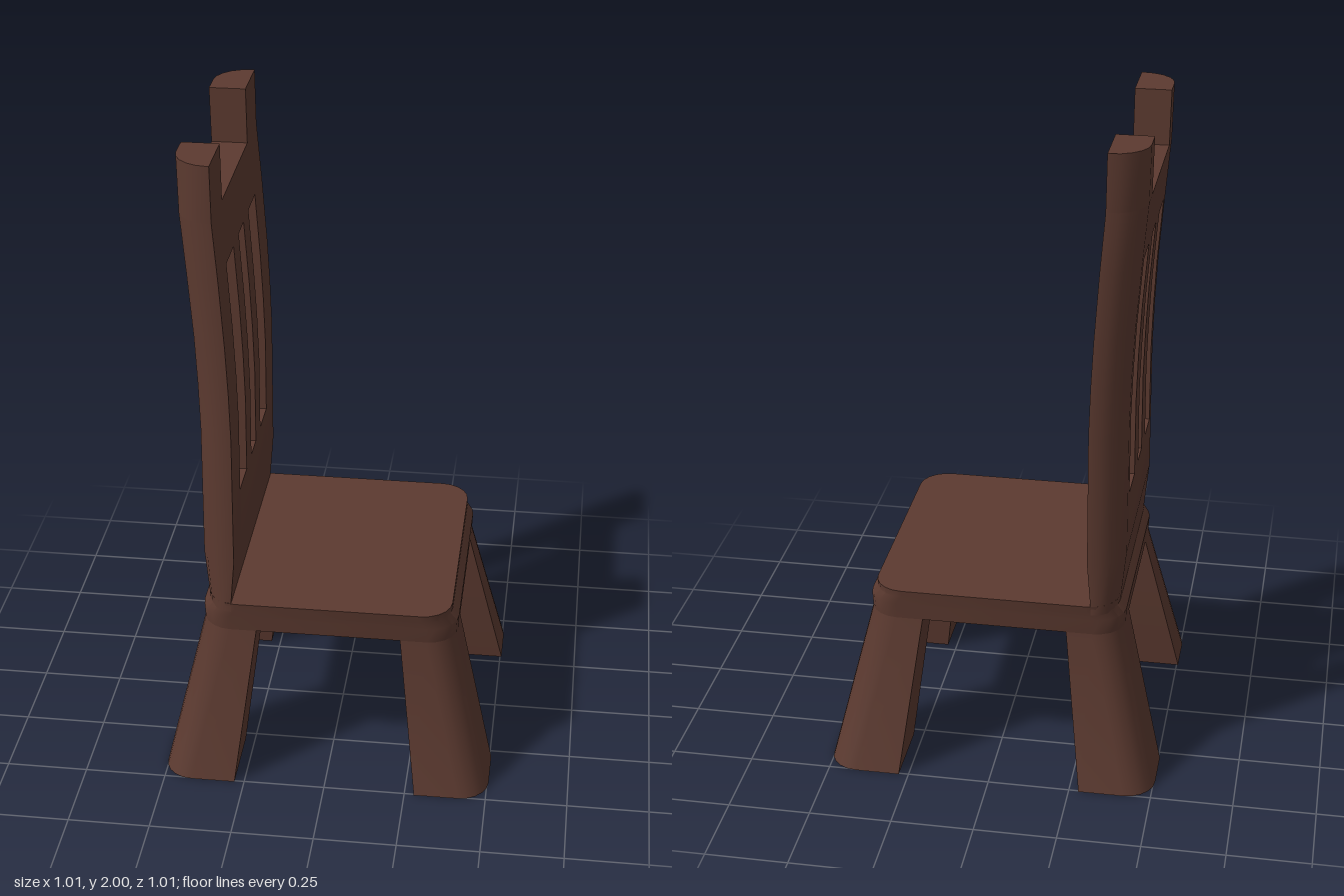
import * as THREE from 'three';
import { toCreasedNormals } from 'three/addons/utils/BufferGeometryUtils.js';

// Closed loft through convex rings, bottom to top; each level is { y, ring: [[x, z], ...] }
function loft(levels) {
  const pos = [];
  const n = levels[0].ring.length;
  const rings = levels.map(({ y, ring }) => {
    let area = 0;
    ring.forEach(([x, z], i) => {
      const [x2, z2] = ring[(i + 1) % n];
      area += x * z2 - x2 * z;
    });
    const ordered = area > 0 ? [...ring].reverse() : ring;
    return ordered.map(([x, z]) => [x, y, z]);
  });
  const tri = (a, b, c) => pos.push(...a, ...b, ...c);
  for (let i = 0; i < rings.length - 1; i++) {
    for (let j = 0; j < n; j++) {
      const k = (j + 1) % n;
      tri(rings[i][j], rings[i][k], rings[i + 1][k]);
      tri(rings[i][j], rings[i + 1][k], rings[i + 1][j]);
    }
  }
  const low = rings[0], top = rings[rings.length - 1];
  for (let j = 1; j < n - 1; j++) {
    tri(top[0], top[j], top[j + 1]);
    tri(low[0], low[j + 1], low[j]);
  }
  const geo = new THREE.BufferGeometry();
  geo.setAttribute('position', new THREE.Float32BufferAttribute(pos, 3));
  return toCreasedNormals(geo, 0.6);
}

// Quarter arc from +x round to +z
function arc(cx, cz, rx, rz, steps = 5) {
  return Array.from({ length: steps + 1 }, (_, i) => {
    const a = (i / steps) * Math.PI / 2;
    return [cx + rx * Math.cos(a), cz + rz * Math.sin(a)];
  });
}

// Bend of the backrest: [y, rear x, front x]
const BEND = [
  [0.56, -0.372, -0.295], [0.6, -0.375, -0.293], [0.73, -0.388, -0.282], [1.15, -0.386, -0.28],
  [1.3, -0.39, -0.284], [1.45, -0.397, -0.291], [1.65, -0.412, -0.304],
  [1.83, -0.427, -0.318], [2, -0.43, -0.32],
];

function bendAt(y) {
  const i = Math.max(1, BEND.findIndex((b) => b[0] >= y));
  const [a, b] = [BEND[i - 1], BEND[i]];
  const t = (y - a[0]) / (b[0] - a[0]);
  return [a[1] + (b[1] - a[1]) * t, a[2] + (b[2] - a[2]) * t];
}

// Bent piece of the backrest; section is a ring of [depth 0 rear .. 1 front, z]
function bentPiece(y0, y1, section) {
  const ys = [y0, ...BEND.map((b) => b[0]).filter((y) => y > y0 && y < y1), y1];
  return loft(ys.map((y) => {
    const [rear, front] = bendAt(y);
    return { y, ring: section.map(([u, z]) => [rear + (front - rear) * u, z]) };
  }));
}

const bar = (z0, z1) => [[0, z0], [1, z0], [1, z1], [0, z1]];

// Post section with its outer rear edge rounded
function postSection(inner, side) {
  const curve = arc(0, 0.3, 0.95, 0.1).map(([u, z]) => [0.95 - u, z]);
  return [[0, inner], [1, inner], [1, 0.4], ...curve.reverse()].map(([u, z]) => [u, z * side]);
}

export function createModel() {
  const chair = new THREE.Group();
  chair.name = 'chair';
  const wood = new THREE.MeshStandardMaterial({ color: 0x5c3a30 });
  wood.name = 'dark brown wood';

  const add = (name, geo) => {
    const mesh = new THREE.Mesh(geo, wood);
    mesh.name = name;
    chair.add(mesh);
  };

  // Seat with rounded corners and a slightly stepped rim: [y, half x, half z]
  const seatLevels = [[0.49, 0.39, 0.39], [0.54, 0.392, 0.395], [0.568, 0.372, 0.4], [0.59, 0.372, 0.404]];
  add('seat', loft(seatLevels.map(([y, hx, hz]) => {
    const r = 0.09;
    const quarter = arc(hx - r, hz - r, r, r);
    const flipped = [...quarter].reverse();
    const ring = [
      ...quarter, ...flipped.map(([x, z]) => [-x, z]),
      ...quarter.map(([x, z]) => [-x, -z]), ...flipped.map(([x, z]) => [x, -z]),
    ];
    return { y, ring };
  })));

  // Four splayed legs, rounded at the outer corner: [y, inner, outer]
  for (const sx of [1, -1]) {
    for (const sz of [1, -1]) {
      const levels = [[0, 0.28, 0.505], [0.49, 0.22, 0.39], [0.52, 0.22, 0.39]].map(([y, a, b]) => {
        const r = 0.09;
        const ring = [[a, a], [b, a], ...arc(b - r, b - r, r, r), [a, b]];
        return { y, ring: ring.map(([x, z]) => [x * sx, z * sz]) };
      });
      add(`${sx > 0 ? 'front' : 'back'}${sz > 0 ? 'Near' : 'Far'}Leg`, loft(levels));
    }
  }

  // Backrest posts and the horns above them
  for (const side of [1, -1]) {
    add('backPost', bentPiece(0.56, 1.83, postSection(0.26, side)));
    add('backHorn', bentPiece(1.83, 2, postSection(0.225, side)));
  }

  // Rails and slats
  add('lowerRail', bentPiece(0.56, 0.91, bar(-0.26, 0.26)));
  add('upperRail', bentPiece(1.65, 1.83, bar(-0.26, 0.26)));
  for (const side of [1, -1]) {
    add('backSlat', bentPiece(0.91, 1.65, bar(0.045 * side, 0.135 * side)));
  }
  return chair;
}
